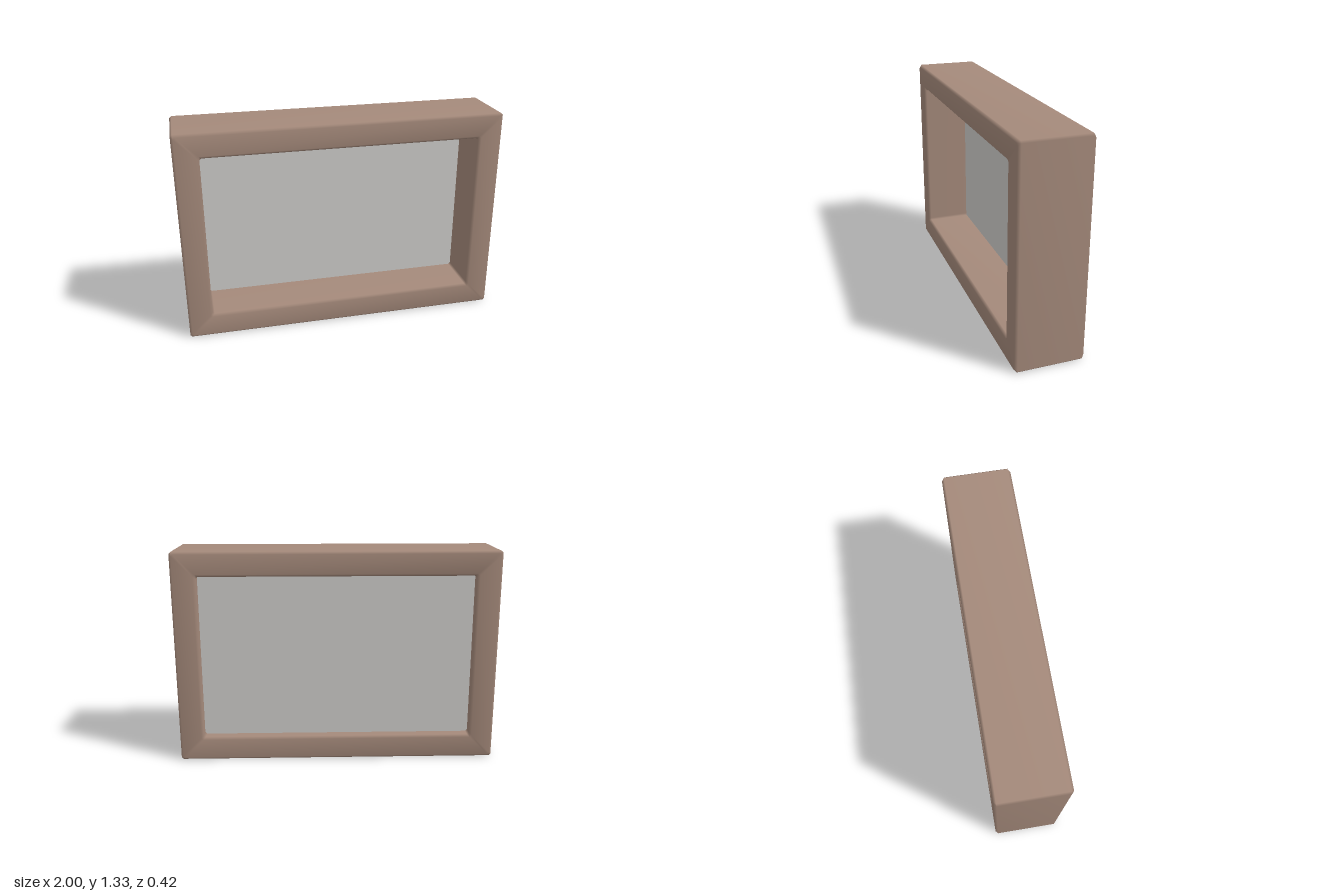
import * as THREE from 'three';

const HALF_W = 1, HALF_H = 0.665, HALF_D = 0.21, BORDER = 0.15, BEVEL = 0.015;

// Chamfered rectangle, counter-clockwise seen from +z, inset from the outer size
function chamferedRect(inset, c) {
  const w = HALF_W - inset, h = HALF_H - inset;
  return [
    [w, -h + c], [w, h - c], [w - c, h], [-w + c, h],
    [-w, h - c], [-w, -h + c], [-w + c, -h], [w - c, -h],
  ];
}

// Closed bevelled profile swept round the rectangle, with shared smooth normals
function frameGeometry() {
  const f = HALF_D, e = HALF_D - BEVEL;
  const profile = [ // [inset, z]
    [0, -e], [0, e], [BEVEL, f], [BORDER - BEVEL, f],
    [BORDER, e], [BORDER, -e], [BORDER - BEVEL, -f], [BEVEL, -f],
  ];
  const positions = [], index = [], n = 8, m = profile.length;
  for (const [inset, z] of profile) {
    for (const [x, y] of chamferedRect(inset, 0.012)) positions.push(x, y, z);
  }
  for (let j = 0; j < m; j++) {
    for (let i = 0; i < n; i++) {
      const i2 = (i + 1) % n, j2 = (j + 1) % m;
      const a = j * n + i, b = j * n + i2, c = j2 * n + i2, d = j2 * n + i;
      index.push(a, b, c, a, c, d);
    }
  }
  const g = new THREE.BufferGeometry();
  g.setAttribute('position', new THREE.Float32BufferAttribute(positions, 3));
  g.setIndex(index);
  g.computeVertexNormals();
  return g;
}

export function createModel() {
  const wood = new THREE.MeshStandardMaterial({ color: 0xa58a7b });
  wood.name = 'brown frame';
  const pane = new THREE.MeshStandardMaterial({ color: 0xcfcdcb });
  pane.name = 'pale grey panel';

  const model = new THREE.Group();
  model.name = 'framedPanel';

  // Deep rectangular frame
  const frame = new THREE.Mesh(frameGeometry(), wood);
  frame.name = 'frame';
  frame.position.y = HALF_H;
  model.add(frame);

  // Panel recessed towards the back, let slightly into the frame
  const w = 2 * (HALF_W - BORDER) + 0.01, h = 2 * (HALF_H - BORDER) + 0.01;
  const panel = new THREE.Mesh(new THREE.BoxGeometry(w, h, 0.05), pane);
  panel.name = 'panel';
  panel.position.set(0, HALF_H, -0.115);
  model.add(panel);

  return model;
}
